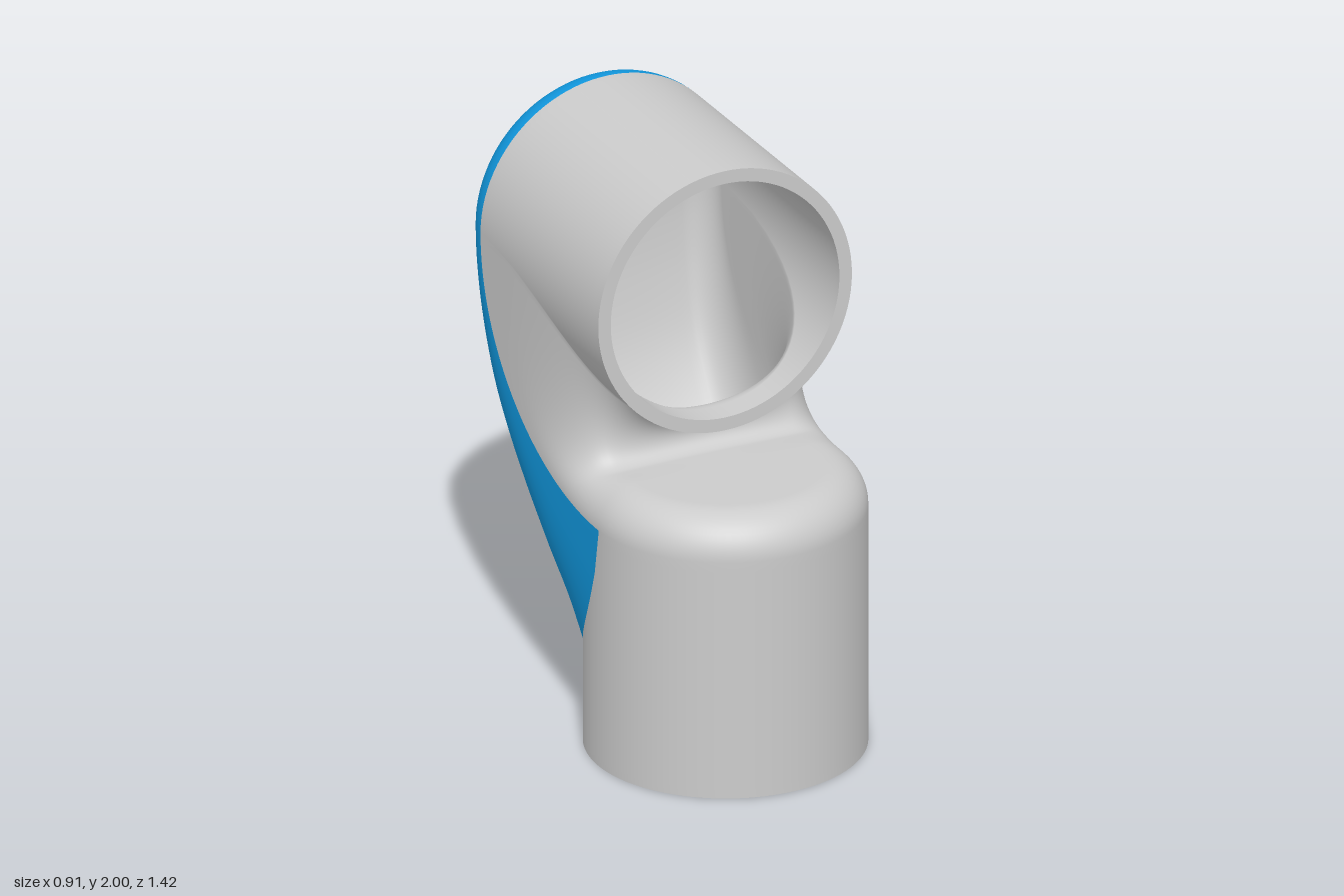
import * as THREE from 'three';
import { mergeGeometries, mergeVertices } from 'three/addons/utils/BufferGeometryUtils.js';

const R = 0.457, FILLET = 0.14, WALL = 0.045; // tube radius, edge rounding, wall thickness
const ZC = 0.253, YC = 1.543;                 // axes of the upright and the level tube
const Y_EDGE = 0.83, Z_EDGE = -0.57;          // where the closed ends begin to round over
const Y_LOW = 0.25, Z_SLOT = 0.157, Y_SLOT = 1.028;
const HALF = 48, LONG = 48;
const { lerp, smoothstep } = THREE.MathUtils;

// Grid surface from a function of u and v; its front is along du x dv
function grid(nu, nv, f) {
  const pos = [], index = [];
  for (let i = 0; i <= nu; i++)
    for (let j = 0; j <= nv; j++) pos.push(...f(i / nu, j / nv));
  for (let i = 0; i < nu; i++)
    for (let j = 0; j < nv; j++) {
      const a = i * (nv + 1) + j, b = a + nv + 1;
      index.push(a, b, a + 1, b, b + 1, a + 1);
    }
  const g = new THREE.BufferGeometry();
  g.setAttribute('position', new THREE.Float32BufferAttribute(pos, 3));
  g.setIndex(index);
  return g;
}

// How far the neck's edge has run along a tube, for a = sine of the angle round it
const run = a => Math.pow(Math.max(0, 1 - (1 - a) ** 2), 0.62);

// Back line of the neck, as (z, y)
const backLine = new THREE.CatmullRomCurve3([
  [-0.204, 0.25], [-0.245, 0.39], [-0.31, 0.51], [-0.43, 0.67], [-0.55, 0.84],
  [-0.63, 1.01], [-0.68, 1.21], [-0.705, 1.4], [-0.71, YC],
].map(([z, y]) => new THREE.Vector3(0, y, z)));

// Side line where the neck is widest, as [z, y]
const sideLine = t => [
  ZC - (ZC - Z_EDGE) * Math.sin(t * Math.PI / 2),
  YC - (YC - Y_EDGE) * Math.cos(t * Math.PI / 2)];

// All surfaces of the skin, shrunk inwards by d
function skin(d) {
  const r = R - d, fil = FILLET - d, slot = 0.058 + d;

  // Rounded closed end, from rim (q = 0) to centre (q = 1): [radius, share of depth]
  const fillet = q => q < 0.5
    ? [r - fil + fil * Math.cos(q * Math.PI), Math.sin(q * Math.PI)]
    : [(r - fil) * 2 * (1 - q), 1];

  // Line round the inside of the slot, as [z, y]
  const slotLine = t => {
    if (t < 0.25) return [lerp(ZC, Z_SLOT, t / 0.25), Y_SLOT - slot];
    const a = (t - 0.25) / 0.75 * Math.PI;
    return [Z_SLOT - slot * Math.sin(a), Y_SLOT - slot * Math.cos(a)];
  };

  const turn = u => u * Math.PI * 2;
  const front = u => Math.PI * (1 + u);

  const uprightTube = grid(HALF * 2, 24, (u, v) => {
    const s = Math.sin(turn(u));
    const top = s > 1e-6 ? lerp(Y_EDGE, Y_LOW, run(s)) : Y_EDGE;
    return [r * Math.cos(turn(u)), top * v, ZC - r * s];
  });
  const levelTube = grid(HALF * 2, 24, (u, v) => {
    const s = Math.sin(turn(u));
    const end = s > 1e-6 ? lerp(Z_EDGE, Z_SLOT, run(s)) : Z_EDGE;
    return [r * Math.cos(turn(u)), YC - r * s, lerp(0.25, end, v)];
  });
  const shoulder = grid(HALF, HALF / 2, (u, v) => {
    const [p, k] = fillet(v);
    return [p * Math.cos(front(u)), Y_EDGE + fil * k, ZC - p * Math.sin(front(u))];
  });
  const backCap = grid(HALF, HALF / 2, (u, v) => {
    const [p, k] = fillet(v);
    return [p * Math.cos(front(u)), YC - p * Math.sin(front(u)), Z_EDGE - fil * k];
  });

  // Back of the neck: half round at the upright tube, rounded flat at the back cap
  const neckBack = grid(LONG, HALF, (t, v) => {
    const side = v < 0.5 ? -1 : 1, q = 1 - Math.abs(2 * v - 1);
    const a = Math.sin(q * Math.PI / 2), [p, k] = fillet(q), m = smoothstep(t, 0, 1);
    const [z, y] = sideLine(t), o = backLine.getPoint(t);
    return [side * lerp(r * Math.cos(q * Math.PI / 2), p, m),
      lerp(y, o.y, lerp(run(a), k, m)), lerp(z, o.z + d, lerp(a, k, m))];
  });
  // Inside of the neck: rounded flat at the shoulder, half round at the level tube
  const neckInside = grid(LONG, HALF, (t, v) => {
    const side = v < 0.5 ? 1 : -1, q = 1 - Math.abs(2 * v - 1);
    const a = Math.sin(q * Math.PI / 2), [p, k] = fillet(q), m = smoothstep(t, 0, 1);
    const [z, y] = sideLine(t), [iz, iy] = slotLine(t);
    return [side * lerp(p, r * Math.cos(q * Math.PI / 2), m),
      lerp(y, iy, lerp(k, a, m)), lerp(z, iz, lerp(k, run(a), m))];
  });
  return { uprightTube, levelTube, shoulder, neckInside, backCap, neckBack };
}

// Welds the pieces for shared smooth normals, then returns them separately again
function smoothTogether(parts, inward) {
  const names = Object.keys(parts);
  const counts = names.map(n => parts[n].index.count);
  const all = mergeVertices(mergeGeometries(Object.values(parts)), 1e-4);
  if (inward) all.index.array.reverse();
  all.computeVertexNormals();
  const idx = Array.from(all.index.array);
  if (inward) { names.reverse(); counts.reverse(); }
  let start = 0;
  return names.map((name, i) => {
    const g = new THREE.BufferGeometry();
    g.setAttribute('position', all.attributes.position);
    g.setAttribute('normal', all.attributes.normal);
    g.setIndex(idx.slice(start, start += counts[i]));
    return [name, g];
  });
}

export function createModel() {
  const group = new THREE.Group();
  const grey = new THREE.MeshStandardMaterial({ color: 0xcccccc });
  const blue = new THREE.MeshStandardMaterial({ color: 0x1199e0 });
  const add = (name, geometry, material) => {
    const mesh = new THREE.Mesh(geometry, material);
    mesh.name = name;
    group.add(mesh);
    return mesh;
  };

  // Outer skin with the coloured back
  for (const [name, g] of smoothTogether(skin(0), false))
    add(name, g, name === 'backCap' || name === 'neckBack' ? blue : grey);

  // Hollow inside
  for (const [name, g] of smoothTogether(skin(WALL), true)) add(name + 'Lining', g, grey);

  // Rims of the two openings
  const rim = new THREE.RingGeometry(R - WALL, R, HALF * 2);
  add('levelRim', rim, grey).position.set(0, YC, 0.25);
  const foot = add('uprightRim', rim, grey);
  foot.rotation.x = Math.PI / 2;
  foot.position.z = ZC;
  return group;
}
